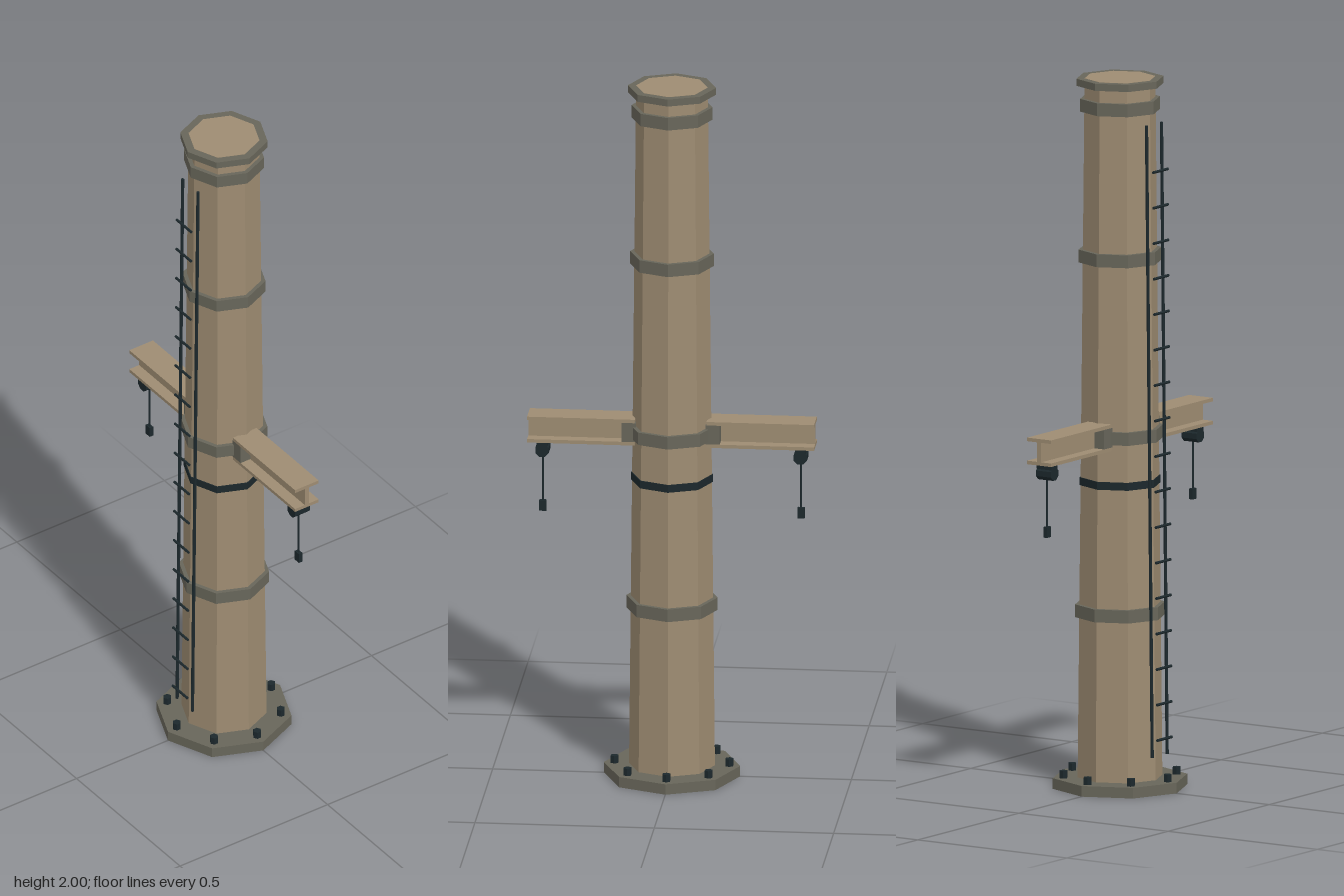
import * as THREE from 'three';

export function createModel() {
  const root = new THREE.Group();
  const mat = (name, color) => {
    const m = new THREE.MeshStandardMaterial({ color, flatShading: true });
    m.name = name;
    return m;
  };
  const tan = mat('tan paint', 0x9e8c72);
  const grey = mat('grey steel', 0x68665a);
  const dark = mat('dark iron', 0x1c282c);

  const add = (name, geometry, material, x = 0, y = 0, z = 0, parent = root) => {
    const mesh = new THREE.Mesh(geometry, material);
    mesh.name = name;
    mesh.position.set(x, y, z);
    parent.add(mesh);
    return mesh;
  };
  const box = (w, h, d) => new THREE.BoxGeometry(w, h, d);
  const prism = (rTop, rBottom, h, sides = 8) => new THREE.CylinderGeometry(rTop, rBottom, h, sides);

  // Tapered octagonal column, its top showing inside the cap rim
  const columnRadius = (y) => 0.12 - 0.01 * y;
  add('column', prism(0.1, 0.12, 1.9995), tan, 0, 1.00075);
  add('basePlate', prism(0.19, 0.19, 0.03), grey, 0, 0.015);
  add('topCap', prism(0.123, 0.123, 0.02), grey, 0, 1.99);

  // Collars around the column
  for (const y of [0.5, 1.0, 1.5, 1.925]) {
    const r = columnRadius(y) + 0.012;
    add('collar', prism(r, r, 0.036), grey, 0, y);
  }
  add('darkBand', prism(0.114, 0.114, 0.022), dark, 0, 0.865);

  // Anchor bolts
  for (let i = 0; i < 8; i++) {
    const a = (i * Math.PI) / 4;
    add('anchorBolt', prism(0.012, 0.012, 0.022, 6), dark, 0.16 * Math.sin(a), 0.04, 0.16 * Math.cos(a));
  }

  // Ladder leaning along the front face
  const ladder = new THREE.Group();
  ladder.name = 'ladder';
  root.add(ladder);
  const bottom = new THREE.Vector3(0, 0.1, 0.133);
  const top = new THREE.Vector3(0, 1.88, 0.114);
  const lean = Math.atan2(top.z - bottom.z, top.y - bottom.y);
  const middle = bottom.clone().add(top).multiplyScalar(0.5);
  for (const side of [-1, 1]) {
    const rail = add('ladderRail', prism(0.005, 0.005, bottom.distanceTo(top), 6), dark,
      side * 0.037, middle.y, middle.z, ladder);
    rail.rotation.x = lean;
  }
  for (let i = 0; i < 17; i++) {
    const y = 0.15 + i * 0.1;
    const rung = add('ladderRung', prism(0.004, 0.004, 0.072, 6), dark, 0, y, 0.149 - 0.0085 * (y - 0.15), ladder);
    rung.rotation.z = Math.PI / 2;
  }

  // Side arms: I-beam, bracket and hoist, mirrored
  for (const side of [-1, 1]) {
    const arm = new THREE.Group();
    arm.name = side > 0 ? 'leftArm' : 'rightArm';
    root.add(arm);
    add('topFlange', box(0.3, 0.01, 0.08), tan, side * 0.25, 1.035, 0, arm);
    add('bottomFlange', box(0.3, 0.01, 0.08), tan, side * 0.25, 0.97, 0, arm);
    add('beamWeb', box(0.3, 0.055, 0.014), tan, side * 0.25, 1.0025, 0, arm);
    add('armBracket', box(0.04, 0.055, 0.08), grey, side * 0.117, 1.0025, 0, arm);

    const drum = add('hoistDrum', prism(0.02, 0.02, 0.05), dark, side * 0.36, 0.938, 0, arm);
    drum.rotation.set(Math.PI / 2, Math.PI / 8, 0);
    add('hoistMount', box(0.03, 0.015, 0.05), dark, side * 0.36, 0.9575, 0, arm);
    add('hoistCable', prism(0.003, 0.003, 0.15, 6), dark, side * 0.36, 0.855, 0, arm);
    add('hoistHook', box(0.02, 0.03, 0.012), dark, side * 0.36, 0.772, 0, arm);
  }

  return root;
}
